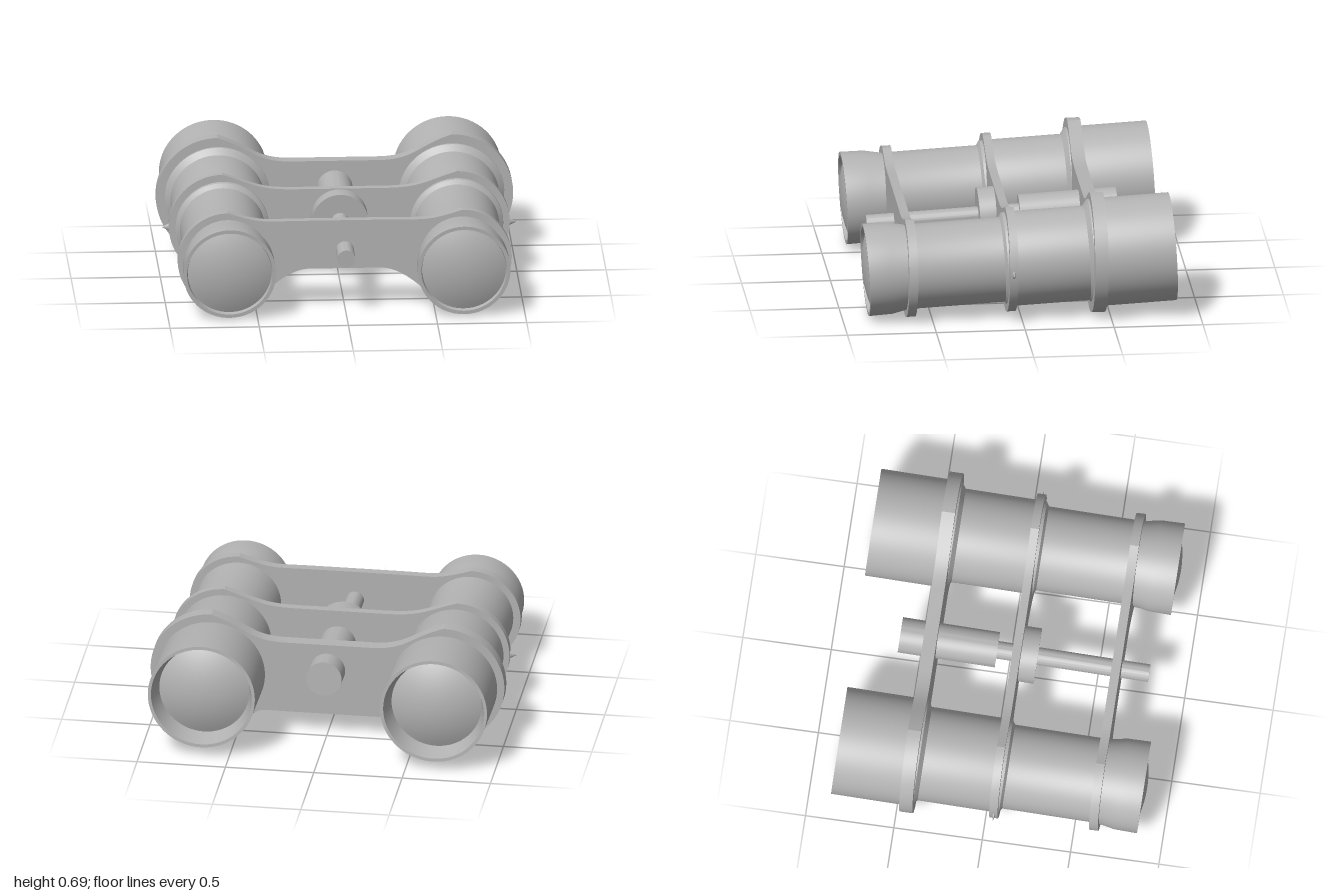
import * as THREE from 'three';
import { toCreasedNormals } from 'three/addons/utils/BufferGeometryUtils.js';

const TILT = 0.05;      // barrels and screw slope gently down towards the eyepieces
const BARREL_X = 0.657;

export function createModel() {
  const model = new THREE.Group();
  model.name = 'binoculars';
  const grey = new THREE.MeshStandardMaterial({ color: 0xb3b3b3 });
  grey.name = 'plain grey';

  function add(name, geometry, parent = model) {
    const mesh = new THREE.Mesh(geometry, grey);
    mesh.name = name;
    parent.add(mesh);
    return mesh;
  }

  // Turned part: profile of [radius, z], running from back to front
  function turned(name, profile, x, y) {
    const pts = profile.map(([r, z]) => new THREE.Vector2(r, z));
    const mesh = add(name, toCreasedNormals(new THREE.LatheGeometry(pts, 64), 0.35));
    mesh.rotation.x = Math.PI / 2 + TILT;
    mesh.position.set(x, y, 0);
    return mesh;
  }

  // Shallow dome from its centre out to its edge
  function dome(radius, zEdge, zApex) {
    const pts = [];
    for (let i = 0; i <= 10; i++) {
      const u = i / 10;
      pts.push([radius * u, zApex + (zEdge - zApex) * u * u]);
    }
    return pts;
  }

  // Barrels with flared eyepieces, stepped tubes and objective hoods
  const shell = [
    [0.255, -0.74], [0.285, -0.86], [0.303, -0.86], [0.303, -0.43],
    [0.3, -0.40], [0.265, -0.375], [0.265, 0.06],
    [0.262, 0.085], [0.238, 0.1], [0.238, 0.64], [0.257, 0.735],
    [0.26, 0.867], [0.24, 0.867], [0.235, 0.84],
  ];
  const objective = dome(0.255, -0.74, -0.805);
  const eyeLens = dome(0.235, 0.84, 0.885).reverse();
  for (const side of [1, -1]) {
    const label = side > 0 ? 'left' : 'right';
    turned(label + 'Barrel', shell, side * BARREL_X, 0.32);
    turned(label + 'ObjectiveLens', objective, side * BARREL_X, 0.32);
    turned(label + 'EyeLens', eyeLens, side * BARREL_X, 0.32);

    // Small pointed lugs on the outside of the middle bridge
    const lug = add(label + 'Lug', new THREE.ConeGeometry(0.032, 0.06, 16));
    lug.rotation.z = -side * Math.PI / 2;
    lug.scale.z = 0.42;
    lug.position.set(side * 0.965, 0.315, 0.058);
  }

  // Bridge plates: a round lobe at each barrel joined by a narrow waist
  function bridge(name, { cy, r, bottom, top, waist, angle, z0, z1 }) {
    const a = angle * Math.PI / 180;
    const sx = BARREL_X + r * Math.cos(a), sy = cy + r * Math.sin(a);
    const half = new THREE.Path();
    half.moveTo(waist, bottom);
    half.bezierCurveTo(waist + 0.1, bottom,
      sx + 0.08 * Math.sin(a), sy - 0.08 * Math.cos(a), sx, sy);
    half.absarc(BARREL_X, cy, r, a, Math.PI * 2.5, false);
    half.bezierCurveTo(0.46, cy + r - 0.065, 0.45, top, 0.24, top);
    const pts = half.getPoints(24);
    const mirrored = pts.map(p => new THREE.Vector2(-p.x, p.y)).reverse();
    const geo = new THREE.ExtrudeGeometry(new THREE.Shape([...pts, ...mirrored]),
      { depth: z1 - z0, bevelEnabled: false });
    geo.translate(0, 0, z0);
    add(name, toCreasedNormals(geo, 0.35));
  }
  bridge('rearBridge', { cy: 0.35, r: 0.344, bottom: 0.127, top: 0.55,
    waist: 0.28, angle: 230, z0: -0.47, z1: -0.395 });
  bridge('middleBridge', { cy: 0.322, r: 0.299, bottom: 0.24, top: 0.53,
    waist: 0.2, angle: 225, z0: 0.033, z1: 0.08 });
  bridge('frontBridge', { cy: 0.286, r: 0.279, bottom: 0.235, top: 0.515,
    waist: 0.2, angle: 225, z0: 0.595, z1: 0.645 });

  // Focusing screw, its sleeve and the adjusting wheel
  const rod = (r, z0, z1) => [[0, z0], [r, z0], [r, z1], [0, z1]];
  turned('focusScrew', rod(0.05, -0.1, 0.8), 0, 0.374);
  turned('focusSleeve', rod(0.1, -0.61, -0.06), 0, 0.374);
  turned('focusWheel', rod(0.157, 0.075, 0.17), 0, 0.374);

  return model;
}
